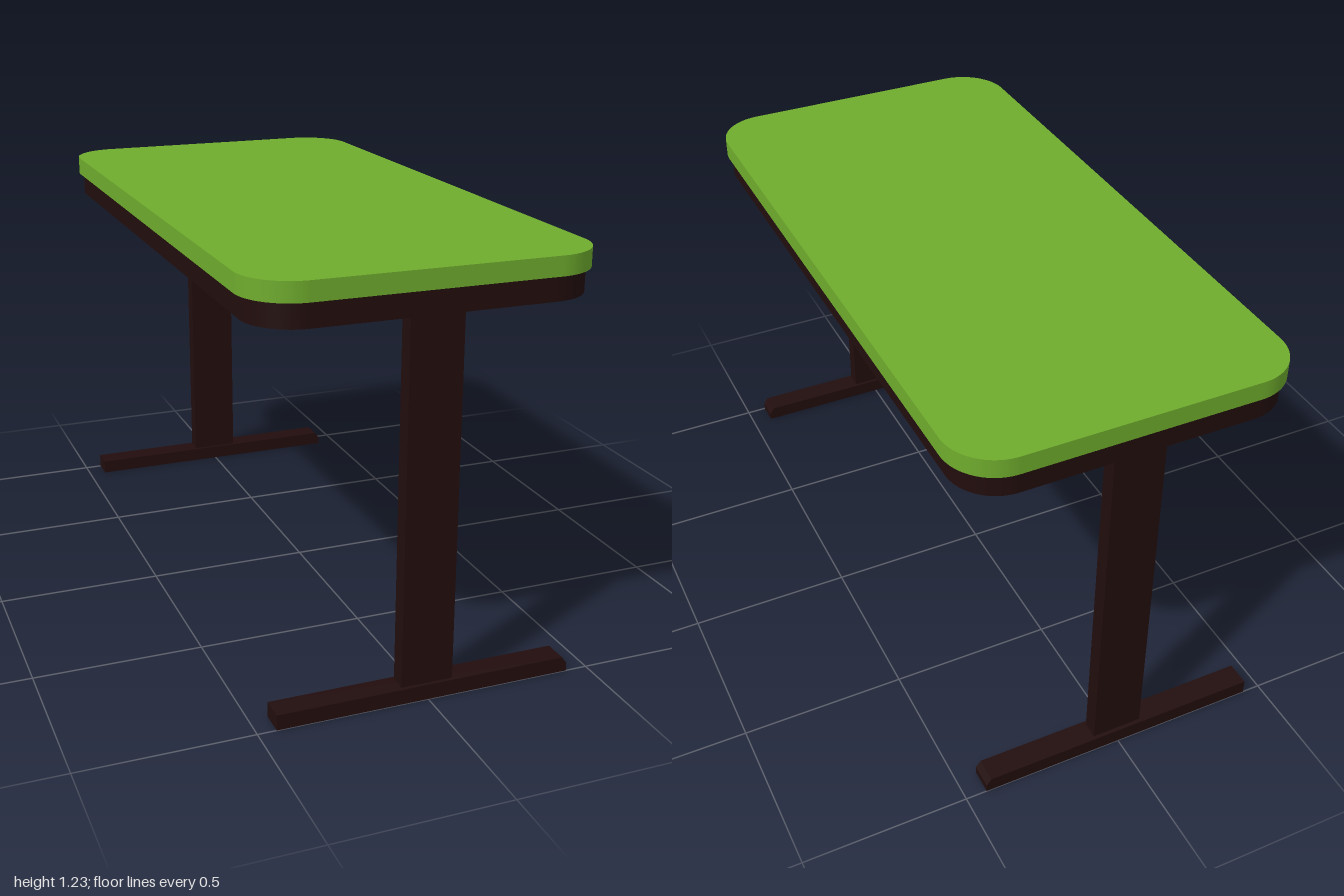
import * as THREE from 'three';

// Rounded rectangle outline centred on the origin
function roundedRect(target, hx, hz, r) {
  target.moveTo(hx, -hz + r);
  target.absarc(hx - r, hz - r, r, 0, Math.PI / 2);
  target.absarc(-hx + r, hz - r, r, Math.PI / 2, Math.PI);
  target.absarc(-hx + r, -hz + r, r, Math.PI, Math.PI * 1.5);
  target.absarc(hx - r, -hz + r, r, Math.PI * 1.5, Math.PI * 2);
  return target;
}

// Lay an extruded outline flat, spanning heights y0 to y1
function slab(shape, y0, y1) {
  const g = new THREE.ExtrudeGeometry(shape, { depth: y1 - y0, bevelEnabled: false, curveSegments: 16 });
  g.rotateX(-Math.PI / 2);
  g.translate(0, y0, 0);
  return g;
}

export function createModel() {
  const table = new THREE.Group();
  table.name = 'table';

  const green = new THREE.MeshStandardMaterial({ color: 0x6fac2d });
  green.name = 'green laminate';
  const dark = new THREE.MeshStandardMaterial({ color: 0x220d0d });
  dark.name = 'dark brown frame';

  const add = (name, geometry, material, z = 0) => {
    const mesh = new THREE.Mesh(geometry, material);
    mesh.name = name;
    mesh.position.z = z;
    table.add(mesh);
  };

  // Table top
  add('tableTop', slab(roundedRect(new THREE.Shape(), 0.5, 1, 0.15), 1.17, 1.226), green);

  // Open apron ring below the top
  const ring = roundedRect(new THREE.Shape(), 0.485, 0.988, 0.14);
  ring.holes.push(roundedRect(new THREE.Path(), 0.435, 0.938, 0.09));
  add('apron', slab(ring, 1.1, 1.17), dark);

  // Foot profile, with one chamfered end
  const footShape = new THREE.Shape([
    [-0.445, 0], [0.435, 0], [0.435, 0.025], [0.42, 0.045], [-0.445, 0.045],
  ].map(([x, y]) => new THREE.Vector2(x, y)));
  const foot = new THREE.ExtrudeGeometry(footShape, { depth: 0.073, bevelEnabled: false });
  foot.translate(0, 0, -0.0365);

  const leg = new THREE.BoxGeometry(0.154, 1.06, 0.05);
  leg.translate(0, 0.57, 0);

  // One leg and foot at each end
  for (const [end, s] of [['front', 1], ['back', -1]]) {
    add(end + 'Leg', leg, dark, s * 0.963);
    add(end + 'Foot', foot, dark, s * 0.9635);
  }
  return table;
}
